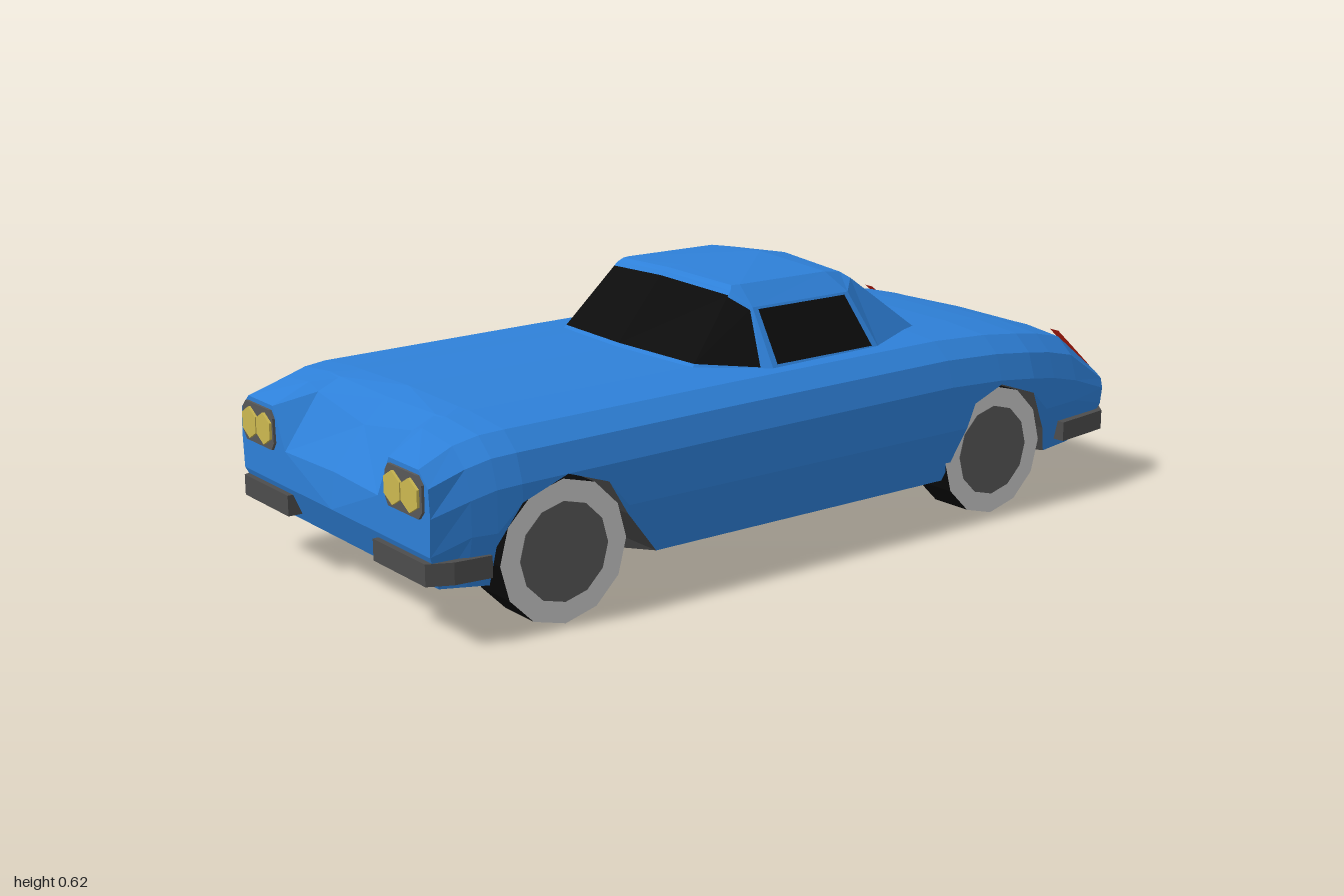
import * as THREE from 'three';

const mat = (name, color) => {
  const m = new THREE.MeshStandardMaterial({ color, side: THREE.DoubleSide });
  m.name = name;
  return m;
};

// Piecewise-linear lookup through [z, value] keys, z falling
function along(keys, z) {
  for (let i = 0; i < keys.length - 1; i++) {
    const [z0, v0] = keys[i], [z1, v1] = keys[i + 1];
    if (z >= z1) return v0 + (v1 - v0) * (z0 - z) / (z0 - z1);
  }
  return keys[keys.length - 1][1];
}

// Flat-faced geometry from right-hand polygons [x,y,z], copied across x = 0
function mirrored(polys) {
  const out = [];
  for (const p of polys) {
    for (let i = 1; i < p.length - 1; i++) {
      const t = [p[0], p[i], p[i + 1]];
      t.forEach(v => out.push(...v));
      t.reverse().forEach(([x, y, z]) => out.push(-x, y, z));
    }
  }
  const g = new THREE.BufferGeometry();
  g.setAttribute('position', new THREE.Float32BufferAttribute(out, 3));
  g.computeVertexNormals();
  return g;
}

function flat(g) {
  const f = g.index ? g.toNonIndexed() : g;
  f.computeVertexNormals();
  return f;
}

export function createModel() {
  const car = new THREE.Group();
  const paint = mat('blue paint', 0x2e80d8), glass = mat('dark glass', 0x0c0c0c);
  const rubber = mat('black rubber', 0x0a0a0a), trim = mat('grey trim', 0x4c4c4c);
  const hubGrey = mat('hub grey', 0x585858), white = mat('whitewall', 0xcccccc);
  const under = mat('underbody', 0x333333), yellow = mat('lamp yellow', 0xccb850), red = mat('tail lamp red', 0xe02412);
  const add = (name, geo, m, x = 0, y = 0, z = 0) => {
    const mesh = new THREE.Mesh(geo, m);
    mesh.name = name;
    mesh.position.set(x, y, z);
    car.add(mesh);
  };

  // Body: sections from nose to tail; the lower edge rises over the wheels
  const width = [[0.985, 0.405], [0.8, 0.435], [-0.65, 0.435], [-0.965, 0.395]];
  const deck = [[0.985, 0.372], [0.9, 0.415], [0.83, 0.433], [0.25, 0.44], [-0.39, 0.445], [-0.6, 0.435], [-0.74, 0.412], [-0.83, 0.39], [-0.965, 0.272]];
  const sill = [
    [0.9, 0.12], [0.85, 0.115], [0.845, 0.2], [0.79, 0.285], [0.68, 0.325], [0.58, 0.29], [0.53, 0.21], [0.44, 0.105],
    [0.25, 0.105], [-0.2, 0.105], [-0.39, 0.105], [-0.44, 0.23], [-0.465, 0.285], [-0.55, 0.318], [-0.66, 0.28],
    [-0.715, 0.18], [-0.74, 0.115], [-0.83, 0.12]];
  const section = ([z, yb]) => {
    const w = along(width, z), top = along(deck, z);
    const dip = z > 0.83 ? z - 0.83 : 0; // hollow in the hood between the lamp pods
    const xb = w - 0.03 * Math.max(0, 1 - (yb - 0.105) / 0.125);
    return [[xb, yb, z], [w, Math.max(0.23, yb), z], [w, Math.max(top - 0.11, yb), z], [w - 0.02, top - 0.05, z],
      [w - 0.065, top - 0.012, z], [0.24, top, z], [0.2, top - dip * 0.2, z], [0, top + 0.004 - dip * 0.7, z]];
  };
  const nose = [[0.37, 0.12, 0.95], [0.4, 0.2, 0.985], [0.405, 0.28, 0.985], [0.4, 0.34, 0.985],
    [0.365, 0.372, 0.985], [0.25, 0.372, 0.985], [0.2, 0.28, 0.985], [0, 0.28, 0.975]];
  const tail = [[0.36, 0.13, -0.93], [0.39, 0.2, -0.945], [0.395, 0.24, -0.945], [0.385, 0.262, -0.95],
    [0.35, 0.272, -0.965], [0.24, 0.272, -0.957], [0.2, 0.272, -0.952], [0, 0.272, -0.965]];
  const rows = [nose, ...sill.map(section), tail];
  const skin = [], wells = [], floor = [];
  for (let k = 0; k < rows.length - 1; k++) {
    const a = rows[k], b = rows[k + 1];
    for (let i = 0; i < a.length - 1; i++) skin.push([a[i], b[i], b[i + 1], a[i + 1]]);
    // Floor, and wheel wells where the edge is raised
    const [p, q] = [a[0], b[0]];
    const edge = v => v[1] > 0.14 ? [0.3, 0.108, v[2]] : v;
    const mid = v => [0, edge(v)[1], v[2]];
    floor.push([mid(q), edge(q), edge(p), mid(p)]);
    if (p[1] > 0.14 || q[1] > 0.14) {
      const inner = (v, y) => [0.3, y, v[2]];
      wells.push([inner(q, q[1]), q, p, inner(p, p[1])]);
      wells.push([inner(p, 0.108), inner(q, 0.108), inner(q, q[1]), inner(p, p[1])]);
    }
  }
  for (const [s, rear] of [[nose, false], [tail, true]]) {
    const c = p => [0, p[1], p[2]];
    const faces = [[c(s[0]), s[0], s[1], c(s[1])], [c(s[1]), s[1], s[2], s[6], s[7]], s.slice(2, 7)];
    faces.forEach(f => skin.push(rear ? f.reverse() : f));
  }
  add('body', mirrored(skin), paint);
  add('wheelWells', mirrored(wells), trim);
  add('floor', mirrored(floor), under);

  // Cabin: walls between a base ring and an eave ring, each with a window opening
  const base = [[0, 0.442, 0.25], [0.25, 0.437, 0.225], [0.345, 0.425, 0.07], [0.338, 0.425, -0.25], [0.25, 0.437, -0.44], [0, 0.442, -0.485]];
  const eave = [[0, 0.603, 0.115], [0.215, 0.588, 0.09], [0.262, 0.555, 0.065], [0.262, 0.555, -0.215], [0.22, 0.575, -0.26], [0, 0.588, -0.265]];
  const roof = [[0, 0.609, 0.1], [0.205, 0.598, 0.08], [0.21, 0.598, 0.06], [0.21, 0.597, -0.19], [0.2, 0.588, -0.245], [0, 0.602, -0.25]];
  // Window limits along and up each wall: u0, u1, v0, v1
  const openings = [[0, 1, 0.06, 0.94], [0, 0.84, 0.06, 0.92], [0.05, 0.95, 0.1, 0.96], null, [0.05, 1, 0.1, 0.94]];
  const shell = [], panes = [];
  const mix = (a, b, t) => a.map((v, i) => v + (b[i] - v) * t);
  openings.forEach((o, i) => {
    const at = (u, v) => mix(mix(base[i], base[i + 1], u), mix(eave[i], eave[i + 1], u), v);
    const us = o ? [0, o[0], o[1], 1] : [0, 1], vs = o ? [0, o[2], o[3], 1] : [0, 1];
    for (let a = 0; a < us.length - 1; a++) {
      for (let b = 0; b < vs.length - 1; b++) {
        if (us[a] === us[a + 1]) continue;
        const cell = [at(us[a], vs[b]), at(us[a + 1], vs[b]), at(us[a + 1], vs[b + 1]), at(us[a], vs[b + 1])];
        (o && a === 1 && b === 1 ? panes : shell).push(cell);
      }
    }
    shell.push([eave[i], eave[i + 1], roof[i + 1], roof[i]]);
  });
  const spine = [[0, 0.609, 0.1], [0, 0.61, 0.08], [0, 0.611, 0.06], [0, 0.616, -0.17], [0, 0.604, -0.245], [0, 0.602, -0.25]];
  for (let i = 0; i < 5; i++) shell.push([roof[i], roof[i + 1], spine[i + 1], spine[i]]);
  add('cabin', mirrored(shell), paint);
  add('windows', mirrored(panes), glass);

  // Tail lamps: slim strips on the sloping tail
  add('tailLamps', mirrored([[[0.325, 0.394, -0.825], [0.352, 0.394, -0.825], [0.338, 0.285, -0.958], [0.305, 0.285, -0.958]]]), red);

  // Bumper corner outlines in plan (x, z)
  const bumpers = {
    frontBumper: [[0.185, 0.992], [0.39, 0.992], [0.415, 0.94], [0.424, 0.857], [0.395, 0.857], [0.37, 0.93], [0.185, 0.94]],
    rearBumper: [[0.185, -0.96], [0.365, -0.968], [0.405, -0.935], [0.428, -0.775], [0.395, -0.775], [0.35, -0.92], [0.185, -0.92]],
  };
  const plate = [[0.24, 0.29], [0.252, 0.273], [0.37, 0.273], [0.385, 0.29], [0.385, 0.345], [0.368, 0.362], [0.255, 0.362], [0.242, 0.345]];
  const outline = (pts, s) => new THREE.Shape(pts.map(([x, y]) => new THREE.Vector2(s * x, y)));
  const tyreGeo = flat(new THREE.CylinderGeometry(0.155, 0.155, 0.105, 12).rotateZ(Math.PI / 2));
  const hubGeo = flat(new THREE.CylinderGeometry(0.108, 0.108, 0.008, 12).rotateZ(Math.PI / 2));

  for (const s of [1, -1]) {
    const side = s > 0 ? 'left' : 'right';
    for (const [name, pts] of Object.entries(bumpers)) {
      const g = new THREE.ExtrudeGeometry(outline(pts, s), { depth: 0.047, bevelEnabled: false });
      add(`${side} ${name}`, g.rotateX(Math.PI / 2), trim, 0, 0.186, 0);
    }
    // Twin headlamps on a grey plate
    add(`${side} headlampPlate`, new THREE.ExtrudeGeometry(outline(plate, s), { depth: 0.006, bevelEnabled: false }), hubGrey, 0, 0, 0.985);
    for (const x of [0.278, 0.345]) {
      const lamp = new THREE.CylinderGeometry(0.036, 0.036, 0.006, 6).rotateX(Math.PI / 2);
      add(`${side} headlamp`, flat(lamp), yellow, s * x, 0.317, 0.994);
    }
    // Twin exhaust pipes
    for (const x of [0.222, 0.267]) {
      const pipe = new THREE.CylinderGeometry(0.018, 0.018, 0.25, 6).rotateX(Math.PI / 2);
      add(`${side} exhaust`, flat(pipe), trim, s * x, 0.115, -0.875);
    }
    // Wheels
    for (const [end, z] of [['front', 0.68], ['rear', -0.545]]) {
      add(`${side} ${end} tyre`, tyreGeo, rubber, s * 0.361, 0.155, z);
      const ring = new THREE.RingGeometry(0.106, 0.155, 12).rotateY(s * Math.PI / 2);
      add(`${side} ${end} whitewall`, ring, white, s * 0.4155, 0.155, z);
      add(`${side} ${end} hub`, hubGeo, hubGrey, s * 0.413, 0.155, z);
    }
  }
  return car;
}
